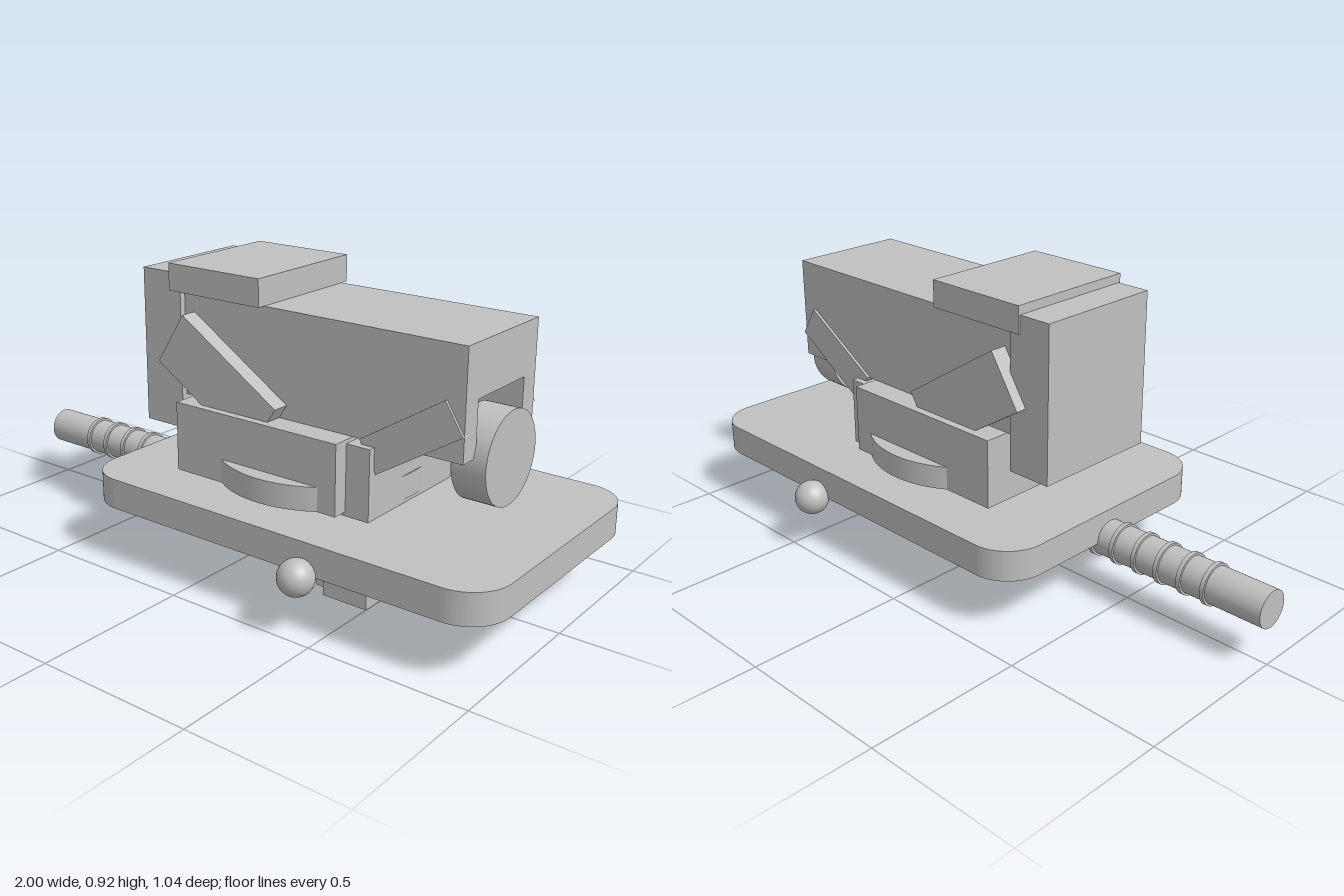
import * as THREE from 'three';

export function createModel() {
  const model = new THREE.Group();
  const grey = new THREE.MeshStandardMaterial({ color: 0xc0c0c0 });
  grey.name = 'plain grey';

  const add = (name, geometry, x = 0, y = 0, z = 0) => {
    const mesh = new THREE.Mesh(geometry, grey);
    mesh.name = name;
    mesh.position.set(x, y, z);
    model.add(mesh);
    return mesh;
  };
  // Box given by its extents on each axis
  const block = (name, x0, x1, y0, y1, z0, z1) =>
    add(name, new THREE.BoxGeometry(x1 - x0, y1 - y0, z1 - z0), (x0 + x1) / 2, (y0 + y1) / 2, (z0 + z1) / 2);
  // Cylinder lying along x
  const rodX = (name, x0, x1, y, radius, sides = 48) => {
    const g = new THREE.CylinderGeometry(radius, radius, x1 - x0, sides).rotateZ(Math.PI / 2);
    return add(name, g, (x0 + x1) / 2, y, 0);
  };

  // Base plate with rounded corners
  const [px0, px1, pz, r] = [-0.425, 1, 0.437, 0.13];
  const plate = new THREE.Shape();
  plate.moveTo(px0 + r, -pz);
  plate.absarc(px1 - r, -pz + r, r, -Math.PI / 2, 0);
  plate.absarc(px1 - r, pz - r, r, 0, Math.PI / 2);
  plate.absarc(px0 + r, pz - r, r, Math.PI / 2, Math.PI);
  plate.absarc(px0 + r, -pz + r, r, Math.PI, Math.PI * 1.5);
  const plateGeometry = new THREE.ExtrudeGeometry(plate, { depth: 0.097, bevelEnabled: false, curveSegments: 12 });
  add('basePlate', plateGeometry.rotateX(-Math.PI / 2), 0, 0.178, 0);

  // Ribbed rod
  rodX('rod', -1, 0.35, 0.178, 0.058);
  for (let i = 0; i < 11; i++) {
    const x = -0.81 + i * 0.0823;
    rodX('rodRing', x - 0.007, x + 0.007, 0.178, 0.065);
  }

  // Central post and the parts beneath the plate
  block('post', 0.345, 0.5, 0, 0.495, -0.223, 0.223);
  block('postStep', 0.29, 0.345, 0, 0.11, -0.18, 0.18);
  block('rodCatch', 0.252, 0.275, 0.085, 0.125, -0.03, 0.03);
  for (const s of [-1, 1]) {
    const strip = block('sideStrip', 0.05, 0.36, 0.115, 0.287, -0.025, 0.025);
    strip.position.z = s * 0.225;
  }

  // Cross axle with ball ends
  add('axle', new THREE.CylinderGeometry(0.024, 0.024, 0.93, 24).rotateX(Math.PI / 2), 0.43, 0.178, 0);
  for (const s of [-1, 1]) add('axleBall', new THREE.SphereGeometry(0.055, 32, 20), 0.43, 0.178, s * 0.465);

  // Turntable and cradle
  add('turntable', new THREE.CylinderGeometry(0.327, 0.327, 0.075, 64), 0.178, 0.325, 0);
  block('cradle', -0.18, 0.42, 0.287, 0.507, -0.273, 0.273);

  // Main body, notched underneath at its far end
  const [notch, notchTop, notchStart] = [0.127, 0.675, 0.5];
  block('body', -0.21, notchStart, 0.507, 0.835, -0.192, 0.192);
  block('bodyTop', notchStart, 0.777, notchTop, 0.835, -0.192, 0.192);
  for (const s of [-1, 1]) {
    const cheek = block('bodyCheek', notchStart, 0.777, 0.507, notchTop, notch, 0.192);
    cheek.position.z *= s;
  }

  // Rear block and cap
  block('rearBlock', -0.36, -0.21, 0.4, 0.892, -0.212, 0.212);
  block('cap', -0.25, 0.1, 0.835, 0.92, -0.218, 0.218);

  // Tilted panel showing on both sides of the body
  const panel = add('tiltedPanel', new THREE.BoxGeometry(0.42, 0.19, 0.494), -0.045, 0.583, 0);
  panel.rotation.z = -0.567;

  // Sloping struts under the notched end
  for (const s of [-1, 1]) {
    const strut = add('strut', new THREE.BoxGeometry(0.32, 0.11, 0.07), 0.613, 0.547, s * 0.166);
    strut.rotation.z = 0.56;
  }

  // Wheel in the notch
  rodX('wheel', 0.71, 0.818, 0.48, 0.141, 64);

  return model;
}
